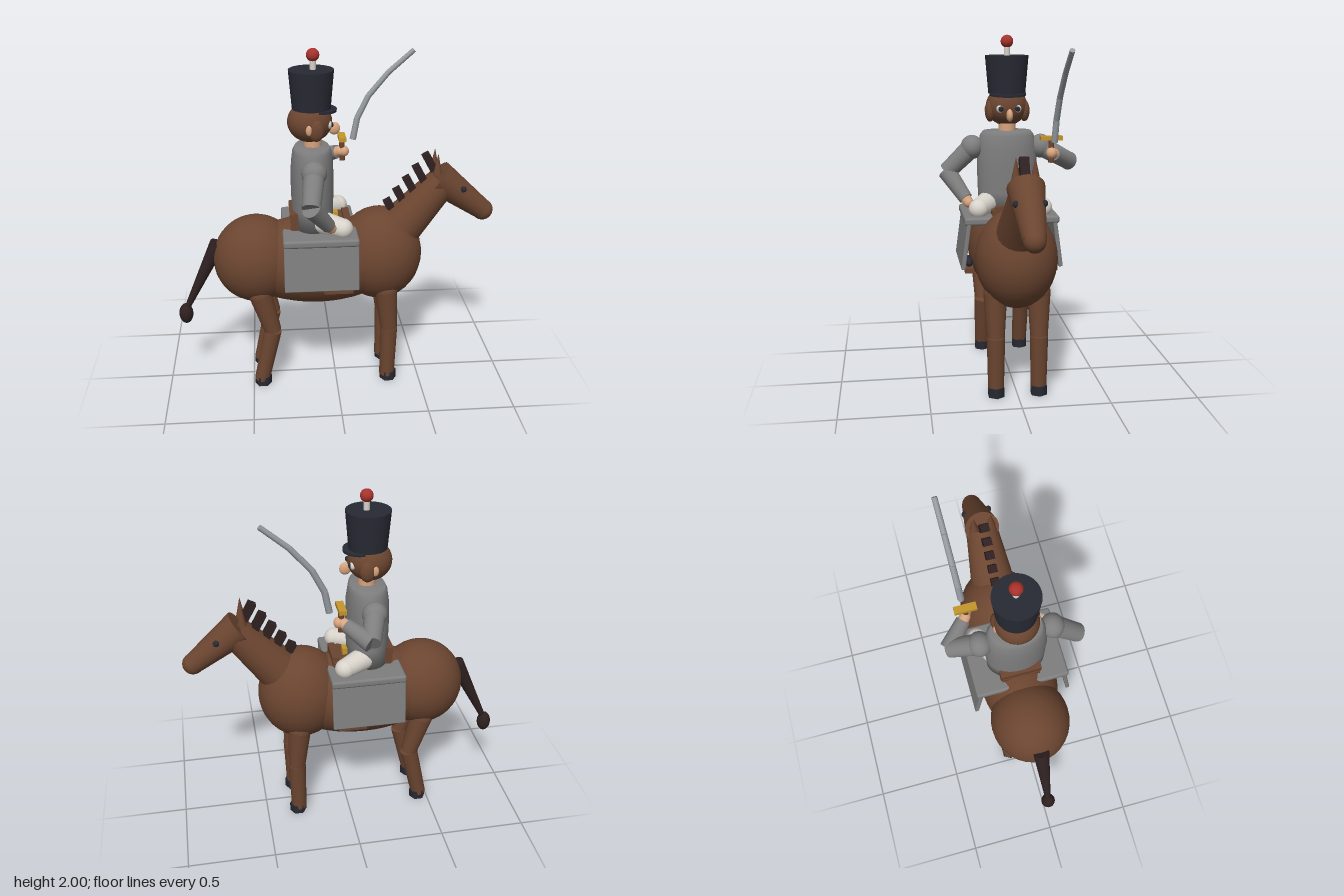
import * as THREE from 'three';
import { RoundedBoxGeometry } from 'three/addons/geometries/RoundedBoxGeometry.js';

export function createModel() {
  const root = new THREE.Group();
  const mat = (name, color, side = THREE.FrontSide) => {
    const m = new THREE.MeshStandardMaterial({ color, side });
    m.name = name;
    return m;
  };
  const brown = mat('brown', 0x6b4530);
  const darkBrown = mat('darkBrown', 0x2e2020);
  const navy = mat('navyBlack', 0x282a34);
  const grey = mat('grey', 0x7e7e7e);
  const cream = mat('cream', 0xd8d3ca);
  const skin = mat('skin', 0xd8a47e);
  const gold = mat('gold', 0xc4962c);
  const red = mat('red', 0xa8322c);
  const steel = mat('steel', 0x979da3);

  const V = (p) => new THREE.Vector3(...p);
  const add = (name, geo, material, pos = [0, 0, 0], rot = [0, 0, 0], parent = root) => {
    const m = new THREE.Mesh(geo, material);
    m.name = name;
    m.position.set(...pos);
    m.rotation.set(...rot);
    parent.add(m);
    return m;
  };
  // Ellipsoid with its three radii
  const ball = (name, material, pos, r, rot) => {
    const m = add(name, new THREE.SphereGeometry(1, 32, 20), material, pos, rot);
    m.scale.set(...r);
    return m;
  };
  // Tapered cylinder from point a to point b
  const limb = (name, material, a, b, ra, rb, sides = 20) => {
    const d = V(b).sub(V(a));
    const m = add(name, new THREE.CylinderGeometry(rb, ra, d.length(), sides), material);
    m.position.copy(V(a).addScaledVector(d, 0.5));
    m.quaternion.setFromUnitVectors(new THREE.Vector3(0, 1, 0), d.normalize());
    return m;
  };
  const box = (name, material, pos, size, rot) =>
    add(name, new THREE.BoxGeometry(...size), material, pos, rot);

  // Horse body
  ball('hindquarters', brown, [-0.46, 0.78, 0], [0.25, 0.26, 0.23]);
  ball('barrel', brown, [-0.1, 0.765, 0], [0.5, 0.265, 0.235]);
  ball('chest', brown, [0.26, 0.79, 0], [0.25, 0.28, 0.23]);
  limb('horseNeck', brown, [0.38, 0.95, 0], [0.62, 1.22, 0], 0.13, 0.09);
  limb('horseHead', brown, [0.59, 1.25, 0], [0.865, 1.04, 0], 0.1, 0.06);
  ball('muzzle', brown, [0.865, 1.04, 0], [0.061, 0.061, 0.058]);

  // Mane
  for (let i = 0; i < 5; i++) {
    box('maneTuft', darkBrown, [0.325 + i * 0.054, 1.07 + i * 0.068, 0], [0.045, 0.11, 0.05], [0, 0, 0.5]);
  }

  // Tail
  limb('tail', darkBrown, [-0.68, 0.88, 0], [-0.885, 0.46, 0], 0.047, 0.016);
  ball('tailTuft', darkBrown, [-0.89, 0.43, 0], [0.041, 0.063, 0.041]);

  // Horse legs: hip, knee, ankle as x,y pairs
  const legs = [
    ['hind', [-0.445, 0.6], [-0.377, 0.36], [-0.45, 0.03]],
    ['front', [0.29, 0.6], [0.312, 0.35], [0.307, 0.03]],
  ];
  for (const s of [1, -1]) {
    const z = 0.122 * s;
    for (const [n, hip, knee, ankle] of legs) {
      ball(n + 'Hip', brown, [...hip, z], [0.068, 0.068, 0.066]);
      limb(n + 'UpperLeg', brown, [...hip, z], [...knee, z], 0.067, 0.05);
      limb(n + 'LowerLeg', brown, [...knee, z], [...ankle, z], 0.052, 0.045);
      add(n + 'Hoof', new THREE.CylinderGeometry(0.05, 0.05, 0.055, 6).toNonIndexed(), navy,
        [ankle[0] + 0.007, 0.0275, z], [0, Math.PI / 2, 0]);
    }
    ball('horseEye', navy, [0.73, 1.195, 0.073 * s], [0.018, 0.018, 0.016]);
    add('horseEar', new THREE.ConeGeometry(0.026, 0.12, 12), brown, [0.58, 1.345, 0.05 * s]);

    // Saddle cloth side, stirrup and boot
    const tilt = -0.135 * s;
    add('saddleClothSide', new RoundedBoxGeometry(0.42, 0.28, 0.024, 2, 0.006), grey,
      [-0.095, 0.826, 0.264 * s], [tilt, 0, 0]);
    box('stirrup', brown, [0, 0.672, 0.245 * s], [0.165, 0.028, 0.05]);
    ball('boot', navy, [0, 0.71, 0.243 * s], [0.075, 0.028, 0.024]);

    // Rider's thigh and knee
    limb('thigh', cream, [-0.13, 1.045, 0.09 * s], [0.03, 1.025, 0.185 * s], 0.07, 0.056);
    ball('knee', cream, [0.03, 1.025, 0.185 * s], [0.057, 0.057, 0.057]);

    // Rider's facial features
    ball('ear', skin, [-0.15, 1.575, 0.115 * s], [0.018, 0.03, 0.012]);
    ball('sideburn', brown, [-0.11, 1.57, 0.1 * s], [0.045, 0.062, 0.03]);
    ball('eyeWhite', cream, [-0.04, 1.588, 0.048 * s], [0.022, 0.024, 0.024]);
    ball('pupil', navy, [-0.022, 1.588, 0.048 * s], [0.01, 0.015, 0.015]);
  }

  // Saddle
  add('saddleCloth', new RoundedBoxGeometry(0.425, 0.045, 0.545, 3, 0.015), grey, [-0.095, 0.967, 0]);
  box('saddleSeat', brown, [-0.09, 1.0, 0], [0.34, 0.04, 0.22]);
  box('cantle', brown, [-0.235, 1.04, 0], [0.045, 0.1, 0.235], [0, 0, 0.15]);
  box('pommel', brown, [0.065, 1.015, 0], [0.04, 0.055, 0.18]);
  box('buckle', gold, [0.0, 1.04, 0], [0.03, 0.04, 0.05]);

  // Rider's coat, flattened front to back
  const profile = [[0, 0.98], [0.168, 0.98], [0.172, 1.1], [0.177, 1.25], [0.172, 1.36],
    [0.158, 1.43], [0.14, 1.455], [0, 1.46]].map(([x, y]) => new THREE.Vector2(x, y));
  add('coat', new THREE.LatheGeometry(profile, 40), grey, [-0.13, 0, 0]).scale.x = 0.69;

  // Rider's head
  limb('neck', skin, [-0.125, 1.44, 0], [-0.125, 1.52, 0], 0.05, 0.05);
  ball('head', brown, [-0.14, 1.595, 0], [0.125, 0.113, 0.12]);
  ball('nose', skin, [-0.004, 1.553, 0], [0.033, 0.036, 0.019]);

  // Hat with peak and pompom
  limb('hat', navy, [-0.13, 1.67, 0], [-0.13, 1.885, 0], 0.107, 0.125, 40);
  add('hatPeak', new THREE.CylinderGeometry(0.105, 0.105, 0.014, 24, 1, false, 0, Math.PI), navy,
    [-0.095, 1.667, 0], [0, 0, -0.06]);
  limb('pompomStem', cream, [-0.12, 1.88, 0], [-0.12, 1.95, 0], 0.017, 0.017);
  ball('pompom', red, [-0.12, 1.964, 0], [0.036, 0.036, 0.036]);

  // Arms: shoulder, elbow, wrist
  const arms = [
    ['left', [-0.13, 1.36, 0.205], [-0.155, 1.215, 0.35], [-0.055, 1.07, 0.25]],
    ['right', [-0.13, 1.36, -0.2], [-0.08, 1.275, -0.36], [0.035, 1.335, -0.25]],
  ];
  for (const [n, shoulder, elbow, wrist] of arms) {
    ball(n + 'Shoulder', grey, shoulder, [0.07, 0.07, 0.066]);
    limb(n + 'UpperArm', grey, shoulder, elbow, 0.06, 0.052);
    limb(n + 'Forearm', grey, elbow, wrist, 0.054, 0.04);
    const hand = V(wrist).lerp(V(elbow), -0.14).toArray();
    limb(n + 'Wrist', skin, wrist, hand, 0.032, 0.03);
    ball(n + 'Hand', skin, hand, [0.03, 0.03, 0.03]);
  }

  // Sword
  limb('swordGrip', brown, [0.062, 1.29, -0.228], [0.06, 1.42, -0.228], 0.016, 0.016);
  ball('swordFingers', skin, [0.072, 1.345, -0.228], [0.03, 0.032, 0.03]);
  box('swordGuard', gold, [0.06, 1.43, -0.228], [0.042, 0.024, 0.125]);
  const blade = [[0.125, 1.415, -0.235], [0.15, 1.54, -0.24], [0.215, 1.67, -0.245],
    [0.33, 1.805, -0.25], [0.475, 1.93, -0.255]];
  for (let i = 0; i < 4; i++) {
    limb('swordBlade', steel, blade[i], blade[i + 1], 0.019 - i * 0.001, 0.018 - i * 0.001, 8);
  }
  return root;
}
